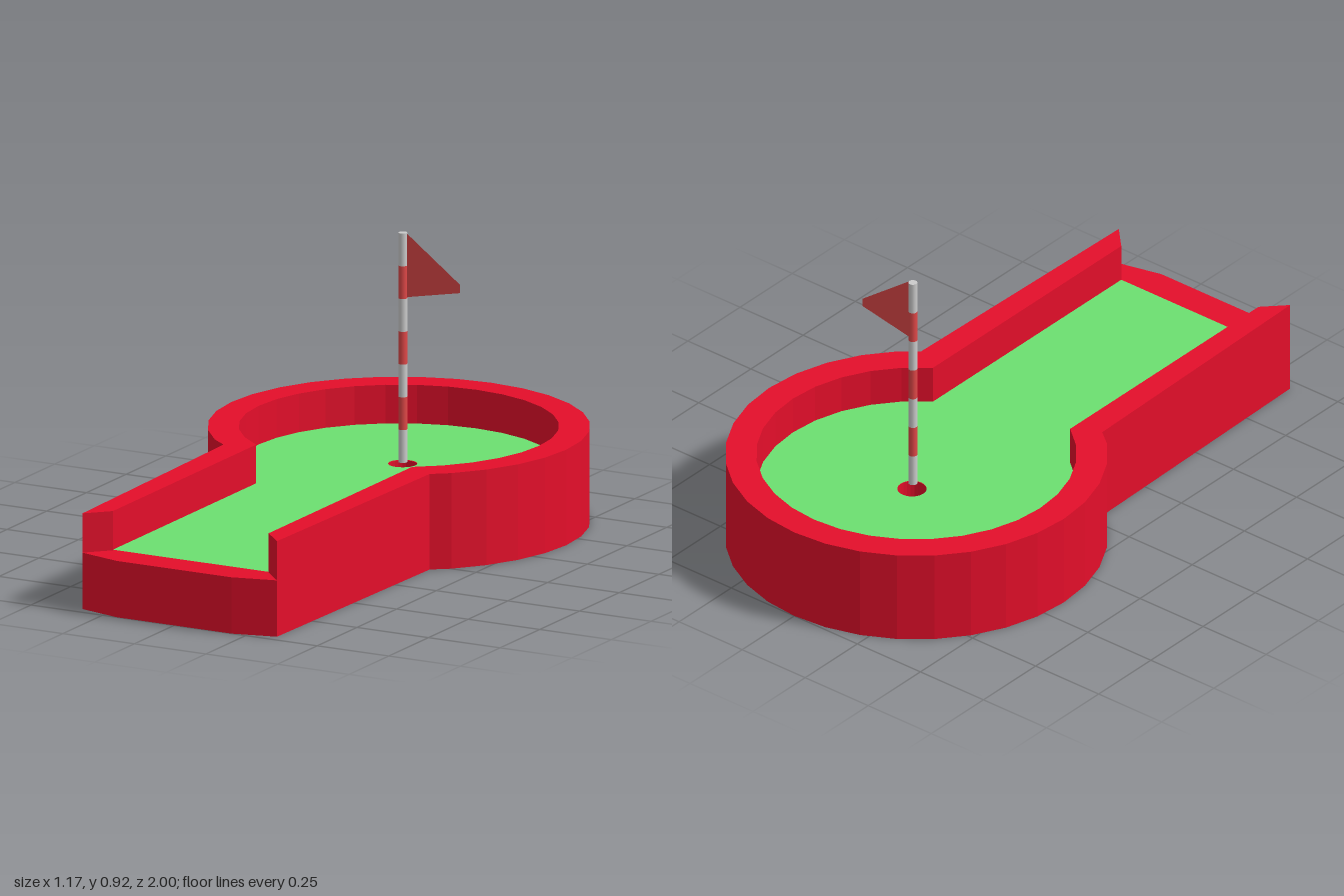
import * as THREE from 'three';

const RED = 0xe40e2a, GREEN = 0x6ce070, FLAG_RED = 0xe04848, GREY = 0xcccccc;
const CZ = -0.415;          // centre of the round green
const FLOOR = 0.178, RIM = 0.302;

const material = (color, extra = {}) => new THREE.MeshStandardMaterial({ color, ...extra });

function addMesh(parent, name, geometry, mat) {
  const mesh = new THREE.Mesh(geometry, mat);
  mesh.name = name;
  parent.add(mesh);
  return mesh;
}

// Arc around the round green, from the +x side over the back to the -x side.
// Steps are 1/32 turns; step 0 points to +x and positive steps go to the back.
function arc(radius, from, to) {
  const points = [];
  for (let i = from; i <= to; i++) {
    const a = (i / 32) * Math.PI * 2;
    points.push([radius * Math.cos(a), CZ - radius * Math.sin(a)]);
  }
  return points;
}

// Plan points [x, z] become a shape that lies flat after rotateX(-90 degrees).
const plan = (points) => new THREE.Shape(points.map(([x, z]) => new THREE.Vector2(x, -z)));

function slab(shape, bottom, top) {
  return new THREE.ExtrudeGeometry(shape, { depth: top - bottom, bevelEnabled: false, curveSegments: 12 })
    .rotateX(-Math.PI / 2)
    .translate(0, bottom, 0);
}

function cutCup(shape) {
  const hole = new THREE.Path();
  hole.absarc(0.005, 0.43, 0.045, 0, Math.PI * 2, true);
  shape.holes.push(hole);
  return shape;
}

export function createModel() {
  const group = new THREE.Group();
  group.name = 'miniGolfHole';
  const red = material(RED);

  // Plan outlines, counter-clockwise from the front +x corner
  const outer = [[0.34, 0.965], [0.36, 0.04], ...arc(0.585, -4, 20), [-0.36, 0.04], [-0.34, 0.965]];
  const inner = [[0.272, 0.895], ...arc(0.49, -5, 21), [-0.272, 0.895]];

  // Solid base with the bowed front lip
  const base = cutCup(plan([...outer, [-0.2, 1.0], [0.2, 1.0]]));
  addMesh(group, 'base', slab(base, 0, FLOOR), red);

  // Raised border, open at the front
  const border = plan([...outer, ...inner.slice().reverse()]);
  addMesh(group, 'borderWall', slab(border, FLOOR, RIM), red);

  // Putting surface
  const turf = new THREE.ShapeGeometry(cutCup(plan(inner)), 12).rotateX(-Math.PI / 2);
  addMesh(group, 'puttingGreen', turf.translate(0, FLOOR + 0.002, 0), material(GREEN));

  // Striped flag pole
  const flagPole = new THREE.Group();
  flagPole.name = 'flagPole';
  flagPole.position.set(0.014, 0.19, CZ);
  group.add(flagPole);
  const bands = 7, bandHeight = 0.725 / bands;
  const bandMaterials = [material(GREY), material(FLAG_RED)];
  for (let i = 0; i < bands; i++) {
    const open = i > 0 && i < bands - 1;
    const band = new THREE.CylinderGeometry(0.014, 0.014, bandHeight, 12, 1, open);
    addMesh(flagPole, 'poleBand', band, bandMaterials[i % 2]).position.y = (i + 0.5) * bandHeight;
  }

  // Thin pennant
  const pennant = new THREE.Shape([[0.012, 0.725], [0.012, 0.522], [0.2, 0.559], [0.2, 0.585]]
    .map(([x, y]) => new THREE.Vector2(x, y)));
  addMesh(flagPole, 'flag', new THREE.ShapeGeometry(pennant), material(FLAG_RED, { side: THREE.DoubleSide }));

  return group;
}
